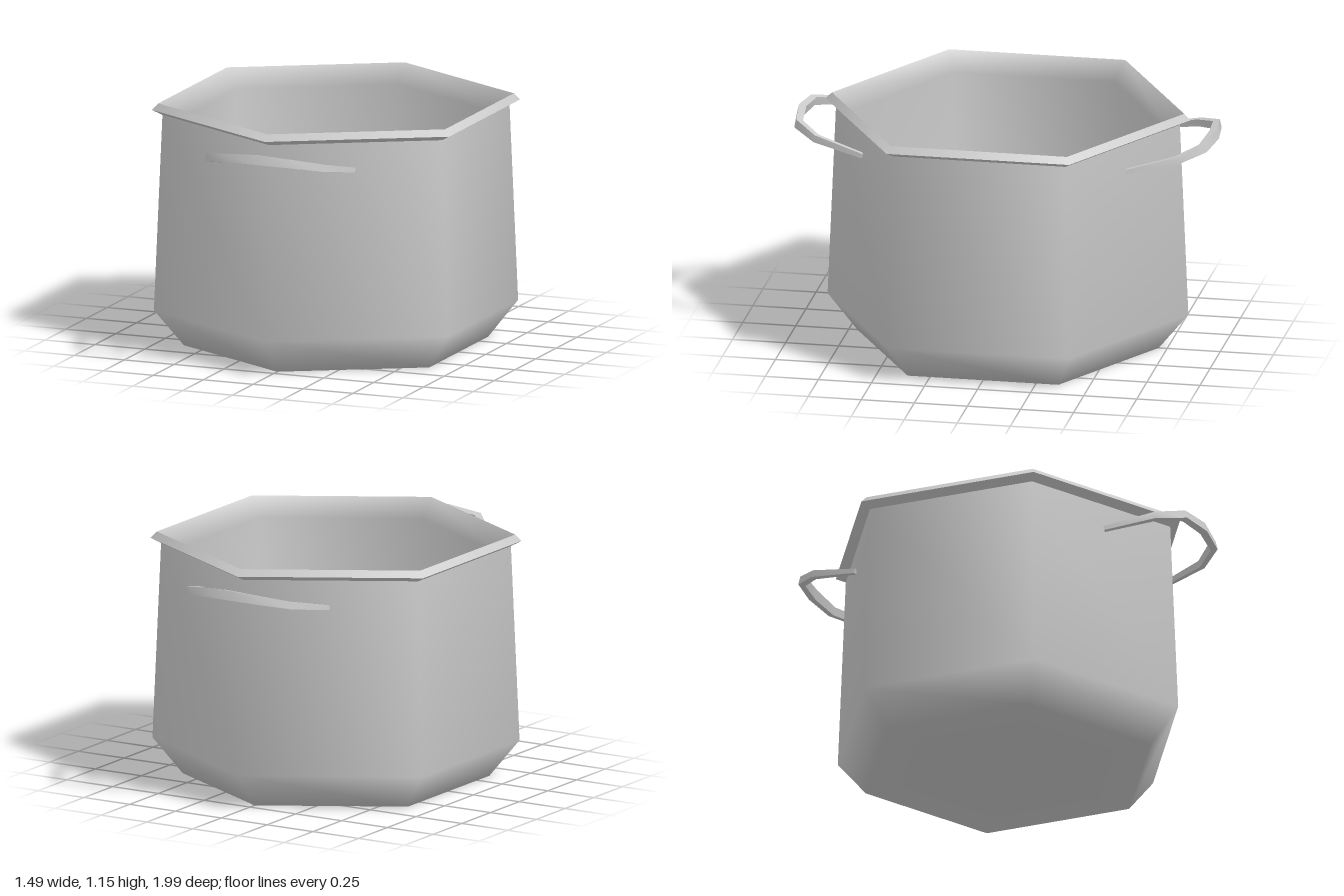
import * as THREE from 'three';

const material = new THREE.MeshStandardMaterial({ color: 0xcccccc, side: THREE.DoubleSide });

// Six-sided turned surface with corners on the z axis; smooth within one profile
function turned(name, profile) {
  const points = profile.map(([r, y]) => new THREE.Vector2(r, y));
  const mesh = new THREE.Mesh(new THREE.LatheGeometry(points, 6), material);
  mesh.name = name;
  return mesh;
}

// Handle stations from the wall to the middle: x, y, z, height, thickness, outward x, outward z
const half = [
  [0.345, 0.968, 0.62, 0.022, 0.02, 0.97, 0.22],
  [0.285, 1.018, 0.85, 0.034, 0.028, 0.87, 0.5],
  [0.18, 1.048, 0.952, 0.04, 0.033, 0.42, 0.91],
  [0, 1.058, 0.972, 0.046, 0.035, 0, 1],
];
const stations = [
  ...half,
  ...half.slice(0, 3).reverse().map(([x, y, z, h, t, ox, oz]) => [-x, y, z, h, t, -ox, oz]),
];

// Rectangular bar swept through the stations, tilted upward away from the pot
function handleGeometry() {
  const tilt = 0.24;
  const up = new THREE.Vector3(0, 1, -tilt).normalize();
  const rings = stations.map(([x, y, z, h, t, ox, oz]) => {
    const out = new THREE.Vector3(ox, oz * tilt, oz).normalize();
    return [[1, 1], [-1, 1], [-1, -1], [1, -1]].map(([a, b]) =>
      new THREE.Vector3(x, y, z).addScaledVector(out, a * t / 2).addScaledVector(up, b * h / 2));
  });
  const positions = [], index = [];
  // Each long side has its own vertices, so its edges stay sharp
  for (let side = 0; side < 4; side++) {
    const base = positions.length / 3;
    rings.forEach((ring, i) => {
      positions.push(...ring[side].toArray(), ...ring[(side + 1) % 4].toArray());
      if (i === rings.length - 1) return;
      const a = base + i * 2;
      index.push(a, a + 1, a + 3, a, a + 3, a + 2);
    });
  }
  // End caps
  for (const ring of [[...rings[0]].reverse(), rings[rings.length - 1]]) {
    const base = positions.length / 3;
    ring.forEach((p) => positions.push(...p.toArray()));
    index.push(base, base + 1, base + 2, base, base + 2, base + 3);
  }
  const geometry = new THREE.BufferGeometry();
  geometry.setAttribute('position', new THREE.Float32BufferAttribute(positions, 3));
  geometry.setIndex(index);
  geometry.computeVertexNormals();
  return geometry;
}

export function createModel() {
  const model = new THREE.Group();
  model.name = 'cookingPot';

  // Body: base, chamfer and slightly tapering wall
  model.add(turned('outerBody', [[0, 0], [0.71, 0], [0.85, 0.17], [0.81, 1.095]]));

  // Rim: sloping underside and bevelled outer edge
  model.add(turned('rimUnderside', [[0.81, 1.095], [0.86, 1.12]]));
  model.add(turned('rimBevel', [[0.86, 1.12], [0.83, 1.15]]));

  // Interior: flared mouth, wall and floor
  model.add(turned('innerBody', [[0.83, 1.15], [0.757, 1.06], [0.8, 0.19], [0.67, 0.04], [0, 0.04]]));

  // Matching handles at the front and back
  const geometry = handleGeometry();
  ['frontHandle', 'backHandle'].forEach((name, i) => {
    const handle = new THREE.Mesh(geometry, material);
    handle.name = name;
    handle.rotation.y = i * Math.PI;
    model.add(handle);
  });

  return model;
}
